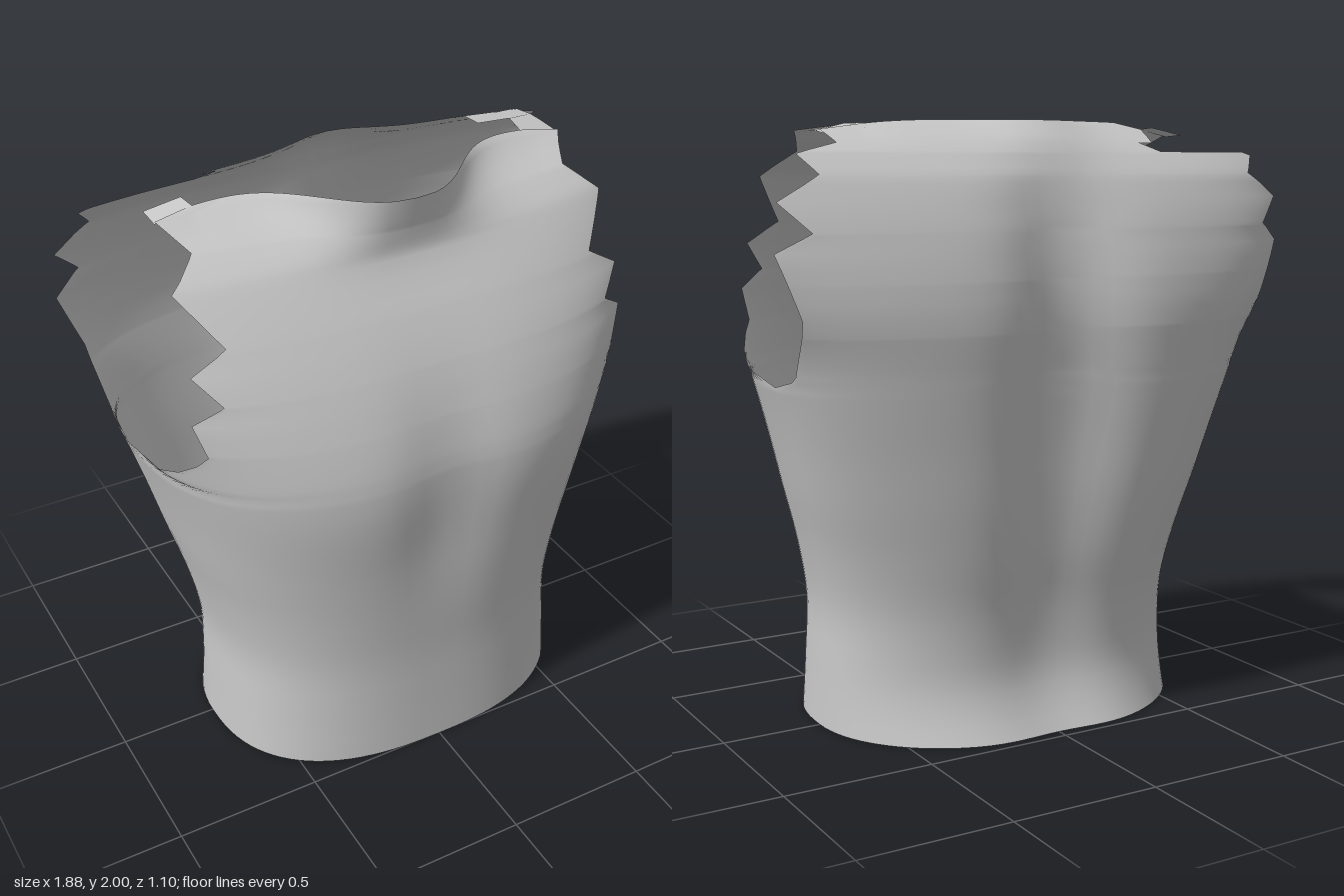
import * as THREE from 'three';
import { mergeVertices } from 'three/addons/utils/BufferGeometryUtils.js';

// Profiles as [height, value] pairs
const waist = [[0, .66], [.2, .65], [.4, .645], [.6, .68], [.8, .735], [1, .787], [1.17, .838], [1.28, .88]];
const frontWidth = [...waist, [1.4, .925], [1.6, 1], [1.8, 1.04], [2, 1.06]];
const backWidth = [...waist, [1.4, .955], [1.6, 1.05], [1.75, 1.1], [2, 1.16]];
const middle = [[0, 0], [.5, -.03], [1.17, -.11], [1.5, -.12], [2, -.12]];
const chest = [[0, .505], [.2, .5], [.4, .5], [.6, .515], [.8, .535], [1.05, .56], [1.2, .55], [1.4, .485], [1.6, .385], [1.8, .25], [1.87, .175], [1.95, .04], [2, -.03]];
const back = [[0, -.5], [.08, -.46], [.2, -.43], [.4, -.445], [.6, -.485], [.8, -.515], [1, -.535], [1.2, -.555], [1.4, -.57], [1.6, -.54], [1.8, -.465], [1.9, -.38], [1.96, -.29], [2, -.21]];
const neck = [[0, 0], [1.65, 0], [1.72, 0], [1.8, .01], [1.87, .08], [1.95, .23], [2, .31]];
const spine = [[0, .04], [.4, .06], [1, .085], [1.5, .085], [1.75, .05], [1.88, 0], [2, -.09]];
const frontRoundness = [[0, .8], [.5, .8], [.8, .79], [1.1, .76], [1.35, .72], [1.6, .69], [2, .69]];
const backRoundness = [[0, .96], [.5, .94], [.8, .86], [1.1, .77], [1.35, .75], [1.6, .76], [2, .76]];

// Ragged armhole edges as [height, x]
const frontTeeth = [[1.17, .838], [1.22, .825], [1.34, .745], [1.45, .78], [1.51, .69], [1.6, .765], [1.67, .65], [1.82, .76], [1.9, .66], [1.98, .72], [2, .6]];
const backTeeth = [[1.17, .838], [1.22, .835], [1.4, .86], [1.6, .94], [1.66, .84], [1.75, .93], [1.83, .8], [1.89, .85], [1.93, .71], [1.98, .73], [2, .6]];

function segment(table, y) {
  let i = 0;
  while (i < table.length - 2 && y > table[i + 1][0]) i++;
  return i;
}

function linear(table, y) {
  const i = segment(table, y), [y0, v0] = table[i], [y1, v1] = table[i + 1];
  return v0 + (v1 - v0) * (y - y0) / (y1 - y0);
}

// Smooth interpolation through a profile
function smooth(table, y) {
  const i = segment(table, y), [y0, v0] = table[i], [y1, v1] = table[i + 1];
  const slope = (k) => {
    const a = table[Math.max(k - 1, 0)], b = table[Math.min(k + 1, table.length - 1)];
    return (b[1] - a[1]) / (b[0] - a[0]);
  };
  const h = y1 - y0, t = (y - y0) / h, t2 = t * t, t3 = t2 * t;
  return v0 * (2 * t3 - 3 * t2 + 1) + v1 * (3 * t2 - 2 * t3)
    + h * (slope(i) * (t3 - 2 * t2 + t) + slope(i + 1) * (t3 - t2));
}

const bell = (x, s, power = 2) => Math.exp(-(Math.abs(x / s) ** power));

// A point on the front or back at height y; s runs from -1 to 1 across it
function bodyPoint(isFront, y, s) {
  const w = smooth(y <= 1.17 ? waist : isFront ? frontWidth : backWidth, y);
  const p = smooth(isFront ? frontRoundness : backRoundness, y);
  const edge = y <= 1.17 ? 1 : Math.min(1, linear(isFront ? frontTeeth : backTeeth, y) / w);
  // Even spacing in x towards the middle, in angle towards the side
  const a = Math.abs(s) * Math.asin(edge ** (1 / p));
  const x = Math.sign(s) * w * Math.sin(a) ** p;
  const zm = smooth(middle, y);
  const round = Math.max(0, Math.cos(a)) ** p;
  let z = zm + (smooth(isFront ? chest : back, y) - zm) * round;
  if (isFront) {
    z += smooth(neck, y) * bell(x, .3, 2.5);
    z -= .045 * bell(x, .16) * bell(y - 1.05, .35);
  } else {
    z += smooth(spine, y) * bell(x, .19);
  }
  const drop = y > 1.9 ? .02 * Math.min(1, (x / .6) ** 4) * (y - 1.9) / .1 : 0;
  return [x, y - drop, z];
}

function buildTorso() {
  const heights = new Set([...frontTeeth, ...backTeeth].map((t) => t[0]));
  for (let k = 0; k <= 40; k++) heights.add(+(k * .05).toFixed(2));
  const rows = [...heights].sort((a, b) => a - b);
  const columns = 48, positions = [], index = [];
  for (const isFront of [true, false]) {
    const start = positions.length / 3;
    for (const y of rows)
      for (let j = 0; j <= columns; j++) positions.push(...bodyPoint(isFront, y, j / columns * 2 - 1));
    for (let i = 0; i < rows.length - 1; i++)
      for (let j = 0; j < columns; j++) {
        const a = start + i * (columns + 1) + j, b = a + 1, c = a + columns + 1, d = c + 1;
        // Torn notch behind the right shoulder
        if (!isFront && rows[i] >= 1.9 && positions[a * 3] < -.45) continue;
        if (isFront) index.push(a, b, d, a, d, c);
        else index.push(a, d, b, a, c, d);
      }
  }
  let geometry = new THREE.BufferGeometry();
  geometry.setAttribute('position', new THREE.Float32BufferAttribute(positions, 3));
  geometry.setIndex(index);
  geometry = mergeVertices(geometry, 1e-4);
  geometry.computeVertexNormals();
  return geometry;
}

// Ragged strip over a shoulder, from inner and outer [x, y, z] edges
function buildStrip(inner, outer) {
  const positions = [], index = [];
  inner.forEach((p, i) => {
    positions.push(...p, ...outer[i]);
    if (i) {
      const a = i * 2 - 2;
      index.push(a, a + 1, a + 3, a, a + 3, a + 2);
    }
  });
  const geometry = new THREE.BufferGeometry();
  geometry.setAttribute('position', new THREE.Float32BufferAttribute(positions, 3));
  geometry.setIndex(index);
  geometry.computeVertexNormals();
  return geometry;
}

export function createModel() {
  const group = new THREE.Group();
  const grey = new THREE.MeshStandardMaterial({ color: 0xc8c8c8, side: THREE.DoubleSide });
  grey.name = 'plain grey';
  const add = (name, geometry) => {
    const mesh = new THREE.Mesh(geometry, grey);
    mesh.name = name;
    group.add(mesh);
  };
  add('torso', buildTorso());
  // The left shoulder is joined; the right one ends in a short flap
  add('leftShoulder', buildStrip(
    [[.58, 1.98, -.03], [.6, 1.985, -.13], [.48, 1.99, -.135], [.48, 1.985, -.22]],
    [[.72, 1.955, -.02], [.72, 1.96, -.12], [.72, 1.96, -.18], [.72, 1.95, -.26]]));
  add('rightShoulder', buildStrip(
    [[-.72, 1.955, -.02], [-.72, 1.96, -.11]],
    [[-.59, 1.98, -.03], [-.6, 1.985, -.1]]));
  return group;
}
